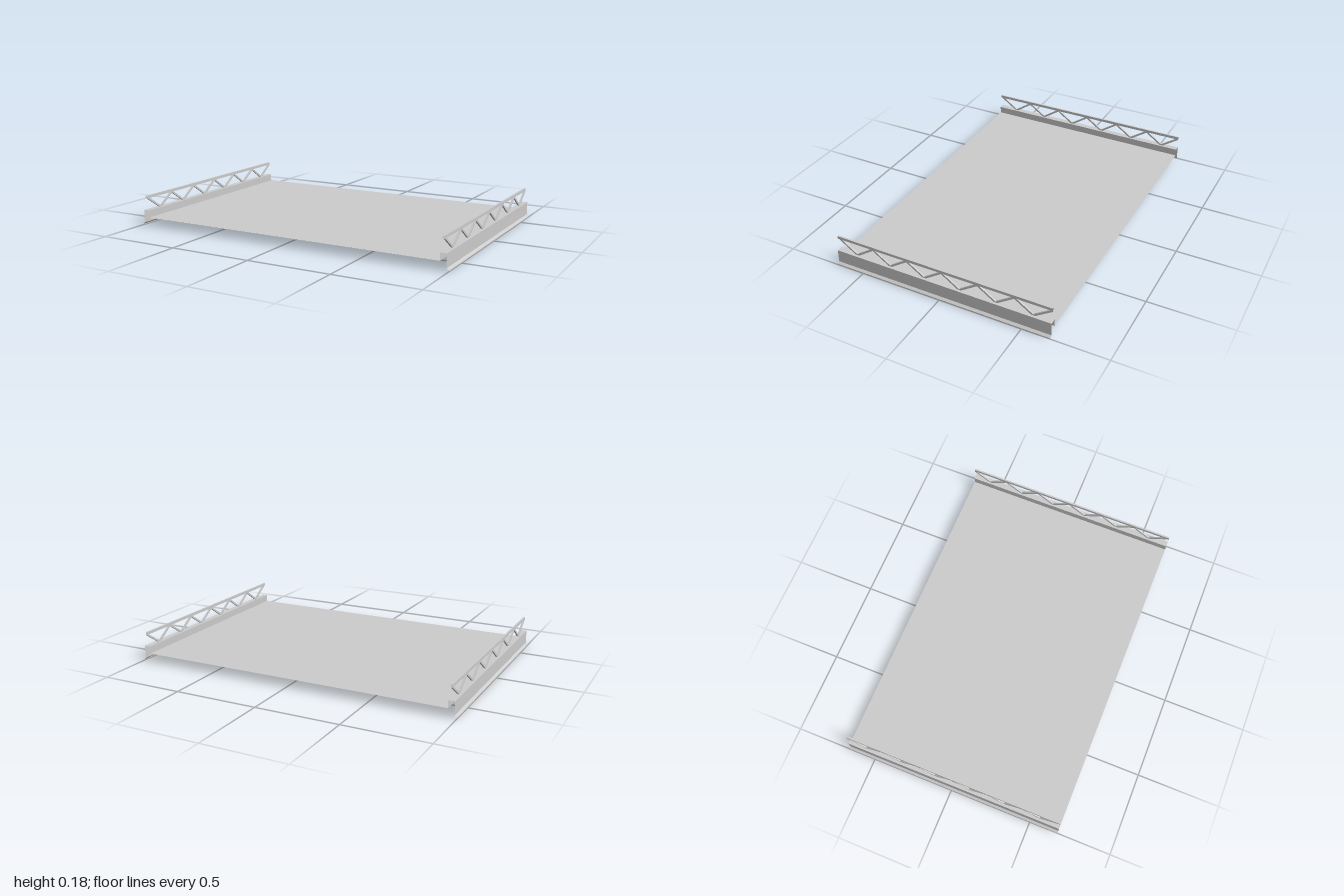
import * as THREE from 'three';

const Z0 = -0.667, Z1 = 0.674; // back and front ends of every straight run
const material = new THREE.MeshStandardMaterial({
  color: 0xcccccc, flatShading: true, side: THREE.DoubleSide,
});

function addMesh(parent, geometry, name) {
  const mesh = new THREE.Mesh(geometry, material);
  mesh.name = name;
  parent.add(mesh);
  return mesh;
}

// Open-ended sheet: an x,y profile swept straight along z
function sweep(profile) {
  const positions = [];
  for (let i = 0; i + 1 < profile.length; i++) {
    const [ax, ay] = profile[i], [bx, by] = profile[i + 1];
    positions.push(ax, ay, Z0, ax, ay, Z1, bx, by, Z1);
    positions.push(ax, ay, Z0, bx, by, Z1, bx, by, Z0);
  }
  const geometry = new THREE.BufferGeometry();
  geometry.setAttribute('position', new THREE.Float32BufferAttribute(positions, 3));
  geometry.computeVertexNormals();
  return geometry;
}

// Square bar between two points in the plane of the truss
function bar(parent, x, y1, z1, y2, z2, name) {
  const length = Math.hypot(y2 - y1, z2 - z1);
  const mesh = addMesh(parent, new THREE.BoxGeometry(0.01, 0.011, length), name);
  mesh.position.set(x, (y1 + y2) / 2, (z1 + z2) / 2);
  mesh.rotation.x = -Math.atan2(y2 - y1, z2 - z1);
}

export function createModel() {
  const model = new THREE.Group();
  model.name = 'floorSpan';

  // Thin deck between the rails
  addMesh(model, sweep([[0.95, 0.05], [-0.95, 0.05]]), 'deck');

  for (const side of [1, -1]) {
    const name = side > 0 ? 'left' : 'right';

    // Folded edge rail with a drip lip at its foot
    const profile = [
      [0.95, 0.05], [0.95, 0.094], [0.987, 0.094],
      [0.987, 0.016], [1, 0.005], [1, 0],
    ];
    addMesh(model, sweep(profile.map(([x, y]) => [side * x, y])), name + 'EdgeRail');

    // Lattice truss: hollow top chord and zigzag web bars
    const truss = new THREE.Group();
    truss.name = name + 'Truss';
    model.add(truss);
    const x = side * 0.967, w = 0.005;
    addMesh(truss, sweep([
      [x - w, 0.166], [x + w, 0.166], [x + w, 0.183], [x - w, 0.183], [x - w, 0.166],
    ]), 'topChord');

    const pitch = 0.2206, top = 0.168, bottom = 0.093;
    for (let i = 0; i < 6; i++) {
      const z = 0.658 - i * pitch;
      bar(truss, x, bottom, z - pitch / 2, top, z, 'webBarFront');
      bar(truss, x, top, z - pitch, bottom, z - pitch / 2, 'webBarBack');
    }
  }
  return model;
}
